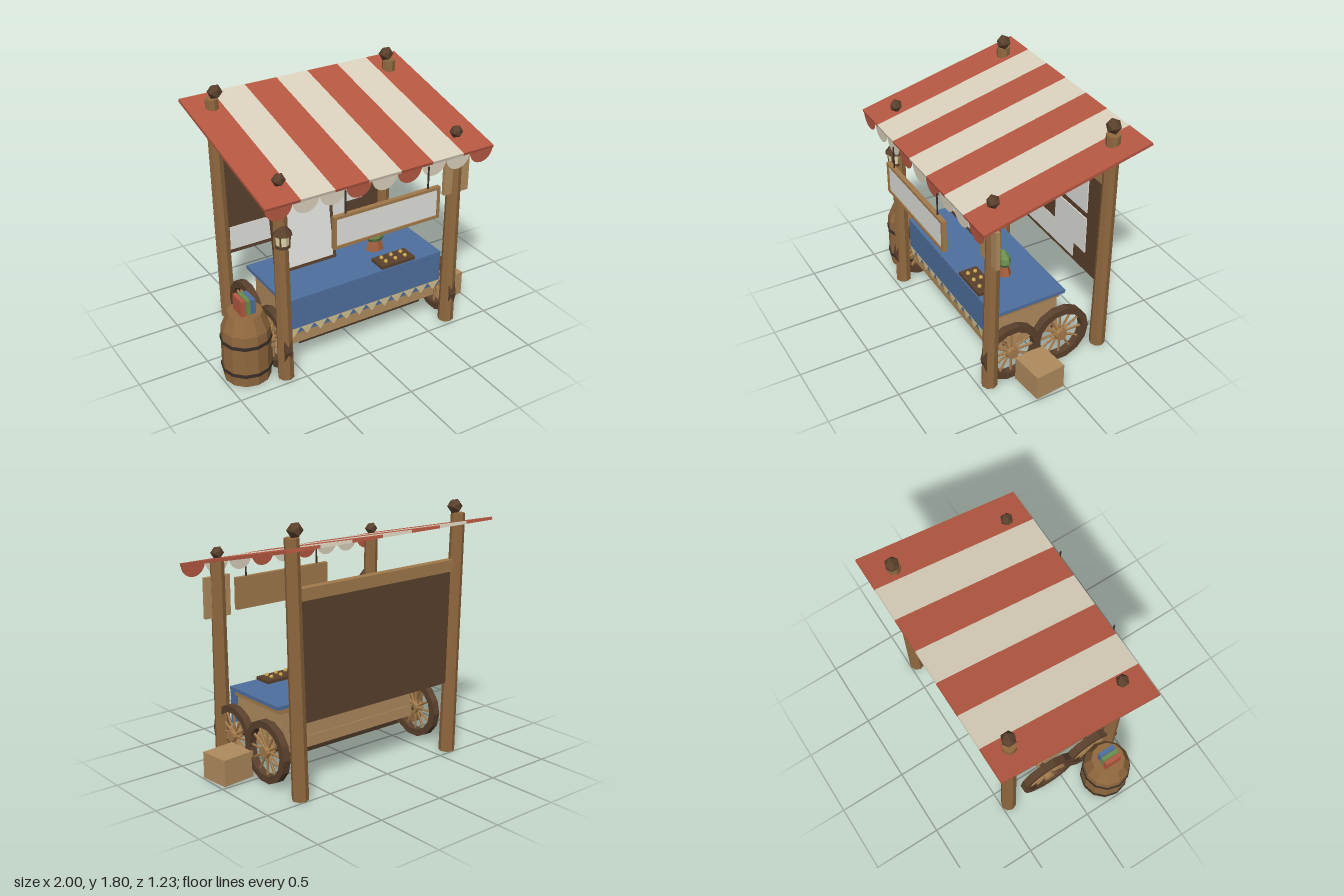
import * as THREE from 'three';

const C = {
  post: 0x91693f, wood: 0xa47b4c, light: 0xb18c5e, dark: 0x5b412d, deep: 0x4a3626,
  red: 0xb65842, cream: 0xdbd1bd, blue: 0x4f709f, paper: 0xe2e2dd, iron: 0x3a2f28,
  green: 0x6a8f4f, clay: 0xa5603f, gold: 0xd0a850, bunting: 0xd2c08e, glow: 0xe6d9ac,
};
const mats = {};
function mat(name) {
  return mats[name] ??= new THREE.MeshStandardMaterial({ color: C[name], flatShading: true, side: THREE.DoubleSide });
}

function add(parent, name, geometry, color, x = 0, y = 0, z = 0) {
  const m = new THREE.Mesh(geometry, mat(color));
  m.name = name;
  m.position.set(x, y, z);
  parent.add(m);
  return m;
}

// Box given by its extents on each axis
function block(parent, name, color, x0, x1, y0, y1, z0, z1) {
  return add(parent, name, new THREE.BoxGeometry(x1 - x0, y1 - y0, z1 - z0), color,
    (x0 + x1) / 2, (y0 + y1) / 2, (z0 + z1) / 2);
}

// Tapered pole between two points
function pole(parent, name, color, a, b, r0, r1, sides = 8) {
  const from = new THREE.Vector3(...a), to = new THREE.Vector3(...b);
  const dir = to.clone().sub(from);
  const m = add(parent, name, new THREE.CylinderGeometry(r1, r0, dir.length(), sides), color);
  m.position.copy(from).add(to).multiplyScalar(0.5);
  m.quaternion.setFromUnitVectors(new THREE.Vector3(0, 1, 0), dir.normalize());
  return m;
}

function group(parent, name, x = 0, y = 0, z = 0) {
  const g = new THREE.Group();
  g.name = name;
  g.position.set(x, y, z);
  parent.add(g);
  return g;
}

// Four-bar frame around a panel, centred on its own origin
function framedPanel(parent, w, h, bar, depth, frameColor) {
  block(parent, 'backing', frameColor, -w / 2 + 0.005, w / 2 - 0.005, -h / 2 + 0.005, h / 2 - 0.005, -depth / 2, 0);
  block(parent, 'panel', 'paper', -w / 2 + bar, w / 2 - bar, -h / 2 + bar, h / 2 - bar, 0, depth * 0.25);
  for (const s of [-1, 1]) {
    block(parent, 'frameRail', frameColor, -w / 2, w / 2, s * (h - bar) / 2 - bar / 2, s * (h - bar) / 2 + bar / 2, -depth / 2, depth / 2);
    block(parent, 'frameStile', frameColor, s * (w - bar) / 2 - bar / 2, s * (w - bar) / 2 + bar / 2, -h / 2 + bar, h / 2 - bar, -depth / 2, depth / 2);
  }
}

function ring(ri, ro, h, sides) {
  const pts = [[ri, -h], [ro, -h], [ro, h], [ri, h], [ri, -h]].map(p => new THREE.Vector2(...p));
  return new THREE.LatheGeometry(pts, sides);
}

function buildWheel(parent, x, z) {
  const wheel = group(parent, 'wheel', x, 0.228, z);
  wheel.rotation.z = Math.PI / 2;
  add(wheel, 'rim', ring(0.168, 0.217, 0.027, 14), 'dark');
  add(wheel, 'hub', new THREE.CylinderGeometry(0.042, 0.042, 0.075, 10), 'wood');
  for (let i = 0; i < 12; i++) {
    const a = i * Math.PI / 6;
    pole(wheel, 'spoke', 'wood', [0.03 * Math.cos(a), 0, 0.03 * Math.sin(a)],
      [0.178 * Math.cos(a), 0, 0.178 * Math.sin(a)], 0.009, 0.009, 5);
  }
}

export function createModel() {
  const stall = new THREE.Group();
  stall.name = 'marketStall';

  // Leaning posts with faceted finials
  const posts = [
    [[-0.62, 0, 0.425], [-0.63, 1.43, 0.402], [-0.63, 1.475, 0.405], 0.046],
    [[0.705, 0, 0.425], [0.725, 1.43, 0.402], [0.72, 1.475, 0.405], 0.046],
    [[-0.615, 0, -0.445], [-0.652, 1.705, -0.455], [-0.63, 1.75, -0.445], 0.053],
    [[0.70, 0, -0.445], [0.738, 1.705, -0.435], [0.72, 1.75, -0.445], 0.053],
  ];
  for (const [a, b, cap, r] of posts) {
    pole(stall, 'post', 'post', a, b, 0.056, 0.048);
    add(stall, 'finial', new THREE.IcosahedronGeometry(r, 0), 'dark', ...cap);
  }

  // Striped sloping awning with a scalloped front edge
  const x0 = -0.818, width = 1.724, stripe = width / 7;
  const awning = group(stall, 'awning', 0, 1.53, -0.02);
  awning.rotation.x = 0.232;
  for (let i = 0; i < 7; i++) {
    block(awning, 'stripe', i % 2 ? 'cream' : 'red', x0 + i * stripe, x0 + (i + 1) * stripe, -0.01, 0.01, -0.61, 0.61);
  }
  const r = width / 18;
  const half = new THREE.CircleGeometry(r, 12, Math.PI, Math.PI);
  for (let i = 0; i < 9; i++) {
    const x = (2 * i + 1) * r;
    add(stall, 'scallop', half, Math.floor(x / stripe) % 2 ? 'cream' : 'red', x0 + x, 1.39, 0.567);
  }

  // Hanging sign
  const sign = group(stall, 'hangingSign', 0.045, 1.115, 0.6);
  framedPanel(sign, 0.81, 0.23, 0.02, 0.032, 'wood');
  for (const x of [-0.315, 0.315]) pole(sign, 'cord', 'iron', [x, 0.11, 0], [x, 0.275, 0], 0.006, 0.006, 6);

  // Back board with top rail and pinned sheets
  block(stall, 'backBoard', 'dark', -0.62, 0.70, 0.51, 1.33, -0.455, -0.43);
  block(stall, 'backRail', 'wood', -0.63, 0.71, 1.31, 1.39, -0.47, -0.415);
  const sheets = [[0.14, 0.52, 0.99, 1.27], [0.14, 0.52, 0.66, 0.94], [-0.58, 0.375, 0.54, 0.72]];
  sheets.forEach((s, i) => block(stall, 'sheet', 'paper', ...s, -0.43, -0.421 - i * 0.002));

  // Cart body
  block(stall, 'cartBody', 'light', -0.535, 0.62, 0.19, 0.48, -0.145, 0.355);
  block(stall, 'cartRim', 'wood', -0.555, 0.64, 0.475, 0.515, -0.155, 0.364);
  block(stall, 'cartSill', 'light', -0.545, 0.63, 0.19, 0.27, -0.15, 0.362);
  block(stall, 'cartBase', 'deep', -0.455, 0.54, 0.14, 0.19, -0.11, 0.32);
  for (const x of [-0.625, 0.715]) {
    for (const z of [0.266, -0.113]) buildWheel(stall, x, z);
  }
  for (const z of [0.266, -0.113]) pole(stall, 'axle', 'dark', [-0.62, 0.228, z], [0.71, 0.228, z], 0.018, 0.018, 6);

  // Cloth with pennant trim
  block(stall, 'clothTop', 'blue', -0.585, 0.672, 0.518, 0.543, -0.177, 0.372);
  block(stall, 'clothFront', 'blue', -0.58, 0.667, 0.275, 0.53, 0.363, 0.373);
  const step = 1.247 / 12;
  const pennant = new THREE.ShapeGeometry(new THREE.Shape([
    new THREE.Vector2(-step / 2, 0), new THREE.Vector2(0, -0.068), new THREE.Vector2(step / 2, 0)]));
  for (let i = 0; i < 12; i++) add(stall, 'pennant', pennant, 'bunting', -0.58 + (i + 0.5) * step, 0.318, 0.378);

  // Standing menu board with rear strut
  const menu = group(stall, 'menuBoard', -0.252, 0.865, 0.025);
  menu.rotation.x = -0.145;
  framedPanel(menu, 0.475, 0.605, 0.02, 0.025, 'dark');
  const strut = add(stall, 'menuStrut', new THREE.BoxGeometry(0.05, 0.34, 0.025), 'dark', -0.252, 0.703, -0.07);
  strut.rotation.x = 0.435;

  // Potted plant
  const plant = group(stall, 'plant', 0.3, 0.543, 0.09);
  add(plant, 'pot', new THREE.CylinderGeometry(0.036, 0.052, 0.07, 7), 'clay', 0, 0.035, 0).scale.x = 1.35;
  const leafProfile = [[0, 0.05], [0.04, 0.055], [0.073, 0.1], [0.065, 0.14], [0.03, 0.175], [0, 0.198]];
  const leaves = add(plant, 'leaves', new THREE.LatheGeometry(leafProfile.map(p => new THREE.Vector2(...p)), 7), 'green');
  leaves.scale.z = 0.68;

  // Tray of small round goods
  block(stall, 'tray', 'dark', 0.18, 0.455, 0.545, 0.568, 0.23, 0.365);
  for (let i = 0; i < 6; i++) {
    add(stall, 'trayItem', new THREE.IcosahedronGeometry(0.016, 0), 'gold',
      0.235 + (i % 3) * 0.08, 0.578, i < 3 ? 0.27 : 0.325);
  }

  // Post plaque
  block(stall, 'plaque', 'light', 0.62, 0.82, 1.033, 1.315, 0.412, 0.44);

  // Lantern
  const lantern = group(stall, 'lantern', -0.63, 1.02, 0.437);
  add(lantern, 'lanternBase', new THREE.CylinderGeometry(0.052, 0.052, 0.018, 8), 'dark', 0, 0.009, 0);
  add(lantern, 'lanternGlass', new THREE.CylinderGeometry(0.05, 0.043, 0.08, 8), 'glow', 0, 0.055, 0);
  add(lantern, 'lanternRoof', new THREE.CylinderGeometry(0.025, 0.066, 0.06, 8), 'dark', 0, 0.122, 0);
  for (let i = 0; i < 4; i++) {
    const a = (i + 0.5) * Math.PI / 2;
    pole(lantern, 'lanternBar', 'dark', [0.046 * Math.sin(a), 0.01, 0.046 * Math.cos(a)],
      [0.05 * Math.sin(a), 0.1, 0.05 * Math.cos(a)], 0.006, 0.006, 5);
  }

  // Barrel with hoops and books
  const barrel = group(stall, 'barrel', -0.825, 0, 0.257);
  const profile = [[0, 0], [0.16, 0], [0.168, 0.1], [0.168, 0.3], [0.165, 0.39], [0.118, 0.505], [0, 0.505]];
  add(barrel, 'staves', new THREE.LatheGeometry(profile.map(p => new THREE.Vector2(...p)), 12), 'post');
  for (const y of [0.09, 0.308]) add(barrel, 'hoop', ring(0.16, 0.175, 0.011, 12), 'iron', 0, y, 0);
  ['red', 'green', 'blue'].forEach((color, i) => {
    const x = -0.04 + i * 0.037;
    block(barrel, 'book', color, x - 0.015, x + 0.015, 0.5, 0.618 - i * 0.004, -0.06, 0.065);
  });

  // Crate
  const crate = add(stall, 'crate', new THREE.BoxGeometry(0.245, 0.185, 0.22), 'light', 0.863, 0.0975, 0.13);
  crate.rotation.y = 0.1;

  return stall;
}
